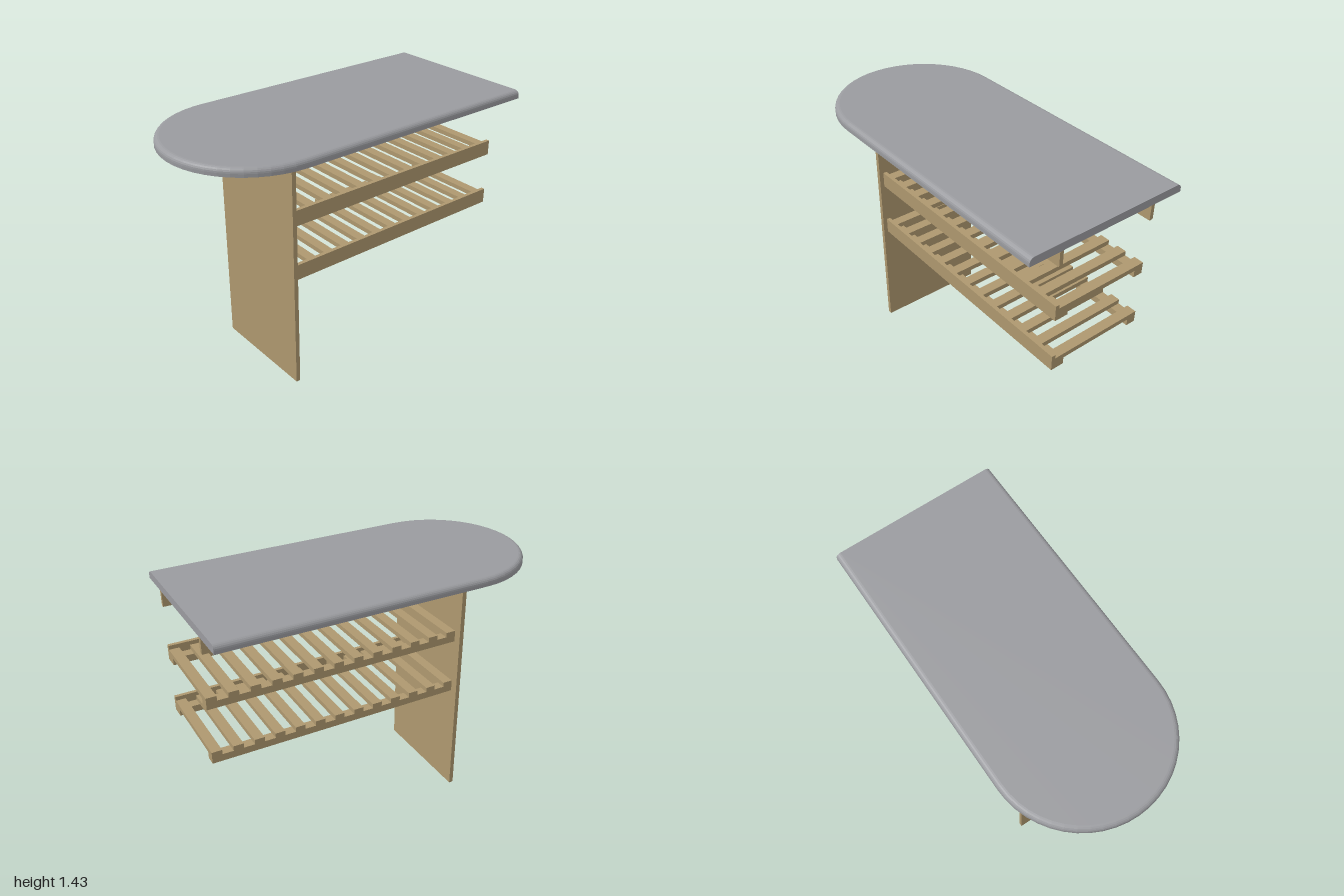
import * as THREE from 'three';

const wood = new THREE.MeshStandardMaterial({ color: 0xae986f });
wood.name = 'wood';
const stone = new THREE.MeshStandardMaterial({ color: 0x9a9b9f });
stone.name = 'grey worktop';

const BACK = -1, TOP_Y = 1.385, THICK = 0.046, HALF = 0.485;

// box given by its limits on each axis
function block(name, x0, x1, y0, y1, z0, z1) {
  const mesh = new THREE.Mesh(new THREE.BoxGeometry(x1 - x0, y1 - y0, z1 - z0), wood);
  mesh.position.set((x0 + x1) / 2, (y0 + y1) / 2, (z0 + z1) / 2);
  mesh.name = name;
  return mesh;
}

// one level of the worktop outline: straight sides, half-round front, square back
function outline(inset, y) {
  const r = HALF - inset, pts = [new THREE.Vector3(-r, y, BACK)];
  for (let i = 0; i <= 24; i++) {
    const a = Math.PI * i / 24;
    pts.push(new THREE.Vector3(-r * Math.cos(a), y, 1 - HALF + r * Math.sin(a)));
  }
  pts.push(new THREE.Vector3(r, y, BACK));
  return pts;
}

// worktop with a rounded upper edge everywhere but at the back
function worktopGeometry() {
  const R = 0.028, steps = 5;
  const rings = [outline(0, TOP_Y)];
  for (let i = 0; i <= steps; i++) {
    const a = Math.PI / 2 * i / steps;
    rings.push(outline(R * (1 - Math.cos(a)), TOP_Y + THICK - R + R * Math.sin(a)));
  }
  const verts = [];
  const tri = (...p) => p.forEach(v => verts.push(v.x, v.y, v.z));
  const fan = pts => {
    for (let i = 1; i < pts.length - 1; i++) tri(pts[0], pts[i], pts[i + 1]);
  };
  for (let k = 0; k < rings.length - 1; k++) {
    const lo = rings[k], hi = rings[k + 1];
    for (let j = 0; j < lo.length - 1; j++) fan([lo[j], lo[j + 1], hi[j + 1], hi[j]]);
  }
  const top = rings[rings.length - 1];
  fan(top);
  fan([...rings[0]].reverse());
  fan([rings[0][top.length - 1], ...rings.map(r => r[0]),
    ...rings.slice(1).reverse().map(r => r[r.length - 1])]);
  const geo = new THREE.BufferGeometry();
  geo.setAttribute('position', new THREE.Float32BufferAttribute(verts, 3));
  geo.computeVertexNormals();
  return geo;
}

// slatted shelf: tall rail on the left, a ledge on both sides, slats across
function shelf(y) {
  const g = new THREE.Group();
  g.name = 'slattedShelf';
  const front = 0.475, inner = 0.283, ledgeTop = y + 0.04, slatW = 0.057, count = 13;
  g.add(block('shelfRail', inner, 0.305, y, y + 0.09, BACK, front));
  g.add(block('leftLedge', inner - 0.057, inner, y, ledgeTop, BACK, front));
  g.add(block('rightLedge', -inner, -inner + 0.057, y, ledgeTop, BACK, front));
  const pitch = (front - BACK - slatW) / (count - 1);
  for (let i = 0; i < count; i++) {
    const z = BACK + i * pitch;
    g.add(block('slat', -inner, inner, ledgeTop, ledgeTop + 0.027, z, z + slatW));
  }
  return g;
}

export function createModel() {
  const model = new THREE.Group();
  model.name = 'counter';

  const worktop = new THREE.Mesh(worktopGeometry(), stone);
  worktop.name = 'worktop';
  model.add(worktop);

  // upright panel carrying the front
  model.add(block('supportPanel', -0.33, 0.33, 0, TOP_Y, 0.475, 0.5));

  // rails beneath the worktop
  model.add(block('leftTopRail', 0.283, 0.305, 1.298, TOP_Y, BACK, 0.475));
  model.add(block('rightTopRail', -0.305, -0.283, 1.298, TOP_Y, BACK, 0.475));

  for (const y of [0.65, 0.975]) model.add(shelf(y));
  return model;
}
